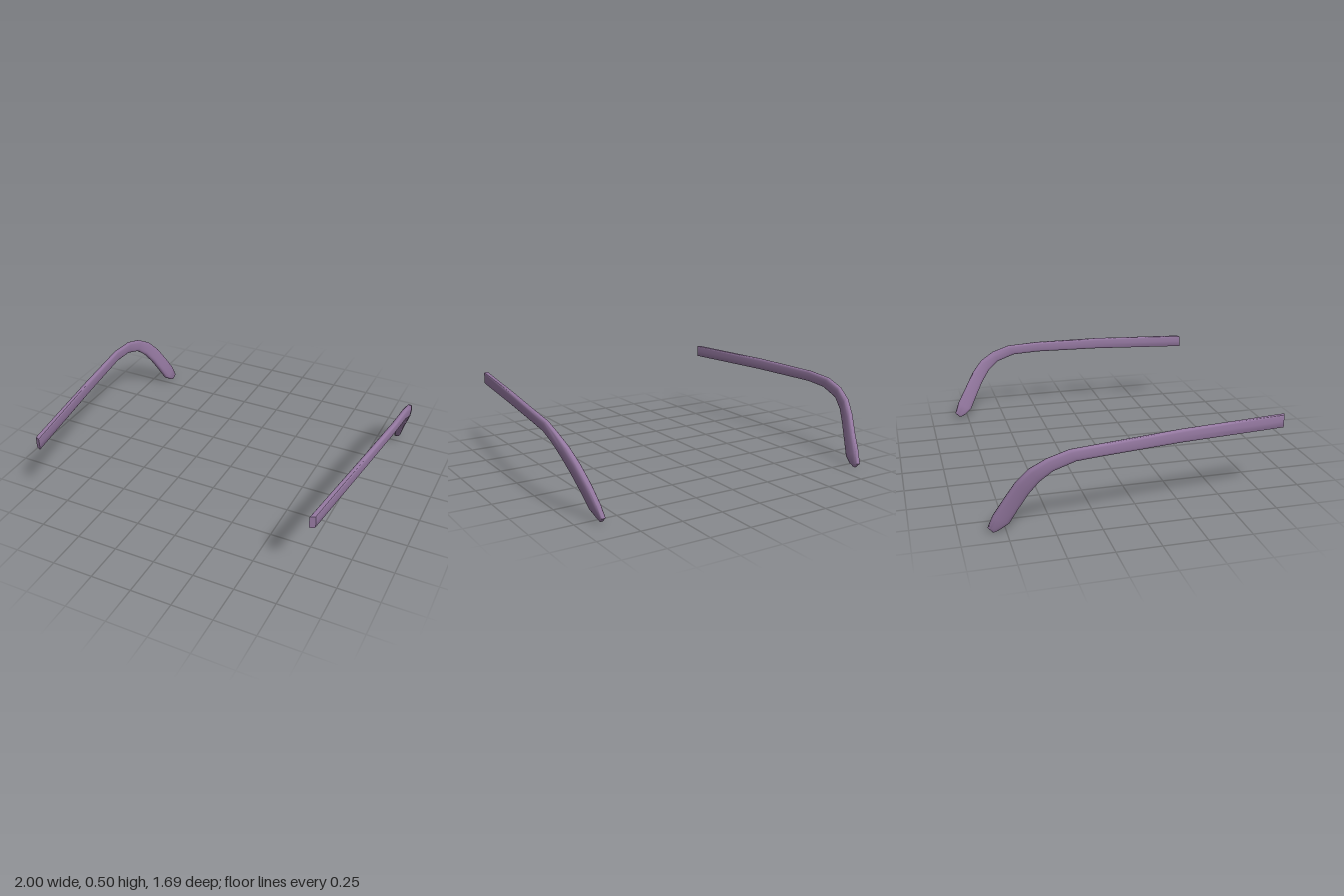
import * as THREE from 'three';
import { toCreasedNormals } from 'three/addons/utils/BufferGeometryUtils.js';

const SIDES = 16;
const material = new THREE.MeshStandardMaterial({ color: 0x9478a0 });

// Curved ear end shared by both arms: upper edge z, y and lower edge z, y
const earEnd = [
  [-0.425, 0.474, -0.39, 0.408],
  [-0.54, 0.435, -0.51, 0.365],
  [-0.63, 0.38, -0.58, 0.305],
  [-0.70, 0.30, -0.635, 0.228],
  [-0.76, 0.20, -0.69, 0.13],
  [-0.82, 0.10, -0.732, 0.05],
  [-0.847, 0.03, -0.775, 0.018],
  [-0.822, 0.002, -0.797, 0.008],
];

// Straight part of an arm: x centre, z, y centre, half height
const leftBar = [[0.856, 0.807, 0.457, 0.037], [0.93, 0.2, 0.462, 0.037], [0.974, -0.22, 0.454, 0.034]];
const rightBar = [[-0.838, 0.837, 0.457, 0.037], [-0.921, 0.2, 0.462, 0.037], [-0.982, -0.25, 0.454, 0.034]];
const leftEarX = [0.984, 0.982, 0.966, 0.94, 0.909, 0.886, 0.872, 0.87];
const rightEarX = [-0.984, -0.979, -0.96, -0.934, -0.907, -0.887, -0.878, -0.878];
const earHalfWidth = [0.0165, 0.018, 0.02, 0.0215, 0.0215, 0.0205, 0.0175, 0.011];

// Lofts a closed skin through rounded-rectangle sections running from front to back
function loft(sections) {
  const pos = [], index = [];
  for (const s of sections) {
    for (let i = 0; i < SIDES; i++) {
      const a = (i / SIDES) * Math.PI * 2;
      const round = (v) => (Math.abs(v) < 1e-6 ? 0 : Math.sign(v) * Math.abs(v) ** s.power);
      const u = round(Math.cos(a)), v = round(Math.sin(a));
      pos.push(
        s.x + u * s.halfWidth,
        (s.top[1] + s.bottom[1]) / 2 + (v * (s.top[1] - s.bottom[1])) / 2,
        (s.top[0] + s.bottom[0]) / 2 + (v * (s.top[0] - s.bottom[0])) / 2 + u * s.slant
      );
    }
  }
  const last = (sections.length - 1) * SIDES;
  for (let i = 0; i < SIDES; i++) {
    const j = (i + 1) % SIDES;
    for (let r = 0; r < last; r += SIDES) {
      index.push(r + i, r + SIDES + i, r + j, r + j, r + SIDES + i, r + SIDES + j);
    }
    // End caps as fans
    if (i > 0 && i < SIDES - 1) {
      index.push(0, i, j);
      index.push(last, last + j, last + i);
    }
  }
  const geometry = new THREE.BufferGeometry();
  geometry.setAttribute('position', new THREE.Float32BufferAttribute(pos, 3));
  geometry.setIndex(index);
  return toCreasedNormals(geometry, 0.75);
}

function createArm(name, bar, earX, side, shiftZ, shiftY) {
  const sections = bar.map(([x, z, y, h], i) => ({
    x, halfWidth: 0.016, top: [z, y + h], bottom: [z, y - h],
    power: i === 0 ? 0.2 : 0.55,
    slant: i === 0 ? -side * 0.007 : 0, // hinge end is cut at a slant
  }));
  earEnd.forEach(([zt, yt, zb, yb], i) => {
    const k = i / (earEnd.length - 1);
    sections.push({
      x: earX[i], halfWidth: earHalfWidth[i], power: 0.65, slant: 0,
      top: [zt + shiftZ * k, yt + shiftY * k],
      bottom: [zb + shiftZ * k, yb + shiftY * k],
    });
  });
  const mesh = new THREE.Mesh(loft(sections), material);
  mesh.name = name;
  return mesh;
}

export function createModel() {
  const group = new THREE.Group();
  group.name = 'glassesArms';
  group.add(createArm('leftArm', leftBar, leftEarX, 1, 0.012, 0.011));
  group.add(createArm('rightArm', rightBar, rightEarX, -1, 0, 0));
  return group;
}
